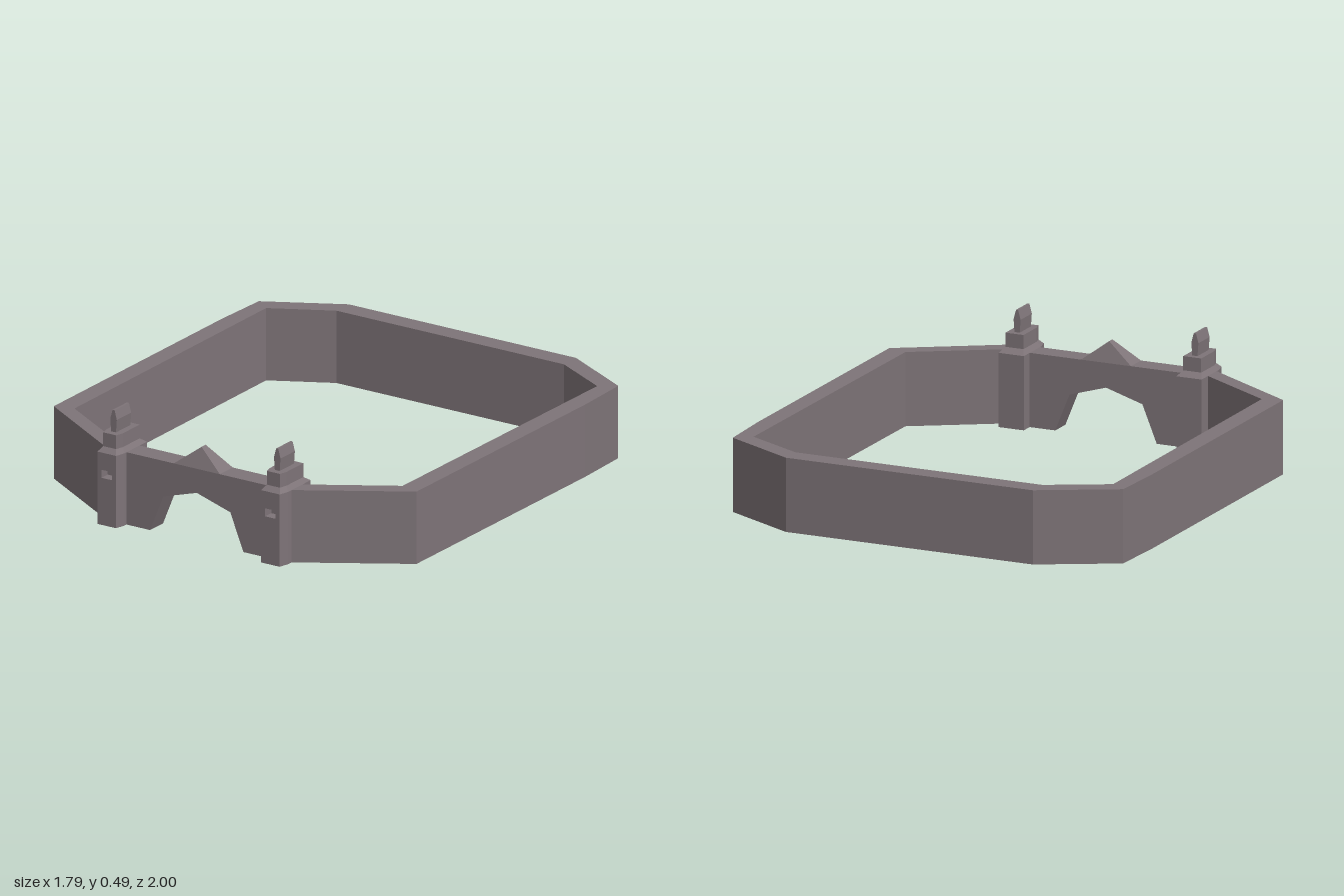
import * as THREE from 'three';

const stone = new THREE.MeshStandardMaterial({ color: 0x7e7478 });
stone.name = 'stone';

const WALL_H = 0.315;
const vecs = (pts) => pts.map(([x, y]) => new THREE.Vector2(x, y));

function part(name, geometry) {
  geometry.computeVertexNormals();
  const mesh = new THREE.Mesh(geometry, stone);
  mesh.name = name;
  return mesh;
}

function extrude(shape, depth) {
  return new THREE.ExtrudeGeometry(shape, { depth, bevelEnabled: false });
}

// Flat-sided solid through rings of [x, z] points, each at its own height
function loft(rings) {
  const pos = [];
  const n = rings[0].pts.length;
  const add = (ring, i) => pos.push(ring.pts[i % n][0], ring.y, ring.pts[i % n][1]);
  for (let r = 0; r < rings.length - 1; r++) {
    const [lo, hi] = [rings[r], rings[r + 1]];
    for (let i = 0; i < n; i++) {
      add(lo, i); add(lo, i + 1); add(hi, i + 1);
      add(lo, i); add(hi, i + 1); add(hi, i);
    }
  }
  const top = rings[rings.length - 1];
  for (let i = 1; i < n - 1; i++) {
    add(top, 0); add(top, i); add(top, i + 1);
    add(rings[0], 0); add(rings[0], i + 1); add(rings[0], i);
  }
  const g = new THREE.BufferGeometry();
  g.setAttribute('position', new THREE.Float32BufferAttribute(pos, 3));
  return g;
}

// Plan outline with the two front corners cut
const plan = (y, w, back, front, cutX, cutZ) => ({
  y,
  pts: [[-w + cutX, front], [w - cutX, front], [w, front - cutZ], [w, back], [-w, back], [-w, front - cutZ]],
});

function enclosureWall() {
  // left half, front to back, as [x, z]
  const outer = [[0.42, 0.94], [0.46, 0.93], [0.893, 0.66], [0.895, -0.57], [0.885, -0.825], [0.56, -1]];
  const inner = [[0.56, -0.91], [0.815, -0.775], [0.808, 0.635], [0.46, 0.85], [0.42, 0.85]];
  const flip = (pts) => pts.map(([x, z]) => [-x, z]).reverse();
  const outline = [...outer, ...flip(outer), ...flip(inner), ...inner];
  const shape = new THREE.Shape(vecs(outline.map(([x, z]) => [x, -z])));
  return part('enclosureWall', extrude(shape, WALL_H).rotateX(-Math.PI / 2));
}

function gateway() {
  const gate = new THREE.Group();
  gate.name = 'gateway';
  // wall pierced by a five-sided arch
  const shape = new THREE.Shape(vecs([
    [-0.42, 0], [-0.23, 0], [-0.165, 0.16], [0, 0.21], [0.165, 0.16], [0.23, 0],
    [0.42, 0], [0.42, WALL_H], [-0.42, WALL_H],
  ]));
  gate.add(part('archWall', extrude(shape, 0.095).translate(0, 0, 0.845)));

  // gable whose front and back lean towards a short ridge
  const gable = extrude(new THREE.Shape(vecs([[-0.113, WALL_H], [0.113, WALL_H], [0, 0.4]])), 0.095);
  gable.translate(0, 0, 0.845);
  const p = gable.attributes.position;
  for (let i = 0; i < p.count; i++) {
    if (p.getY(i) > 0.35) p.setZ(i, p.getZ(i) > 0.89 ? 0.905 : 0.875);
  }
  gate.add(part('gable', gable));
  return gate;
}

function tower(side) {
  const group = new THREE.Group();
  group.name = side > 0 ? 'leftTower' : 'rightTower';
  group.position.x = side * 0.403;

  const body = new THREE.BoxGeometry(0.114, WALL_H, 0.165);
  group.add(part('towerBody', body.translate(0, WALL_H / 2, 0.8725)));

  // front slab with cut corners and a window recess
  const face = new THREE.Shape(vecs([[-0.046, 0], [0.046, 0], [0.046, WALL_H], [-0.046, WALL_H]]));
  face.holes.push(new THREE.Path(vecs([[-0.026, 0.205], [-0.026, 0.24], [0.026, 0.24], [0.026, 0.205]])));
  const front = extrude(face, 0.045);
  const p = front.attributes.position;
  for (let i = 0; i < p.count; i++) {
    const x = p.getX(i);
    if (p.getZ(i) < 0.01 && Math.abs(x) > 0.04) p.setX(i, Math.sign(x) * 0.057);
  }
  group.add(part('towerFront', front.translate(0, 0, 0.955)));

  // sloped shoulder and upper block
  group.add(part('towerTop', loft([
    plan(WALL_H, 0.057, 0.79, 1.0, 0.011, 0.045),
    plan(0.335, 0.041, 0.82, 0.978, 0.009, 0.035),
    plan(0.395, 0.041, 0.82, 0.978, 0.009, 0.035),
  ])));

  // thin blade-like finial
  group.add(part('finial', loft([
    plan(0.395, 0.012, 0.845, 0.95, 0, 0),
    plan(0.45, 0.016, 0.845, 0.95, 0, 0),
    plan(0.49, 0.005, 0.845, 0.95, 0, 0),
  ])));
  return group;
}

export function createModel() {
  const model = new THREE.Group();
  model.name = 'walledEnclosure';
  model.add(enclosureWall(), gateway(), tower(1), tower(-1));
  return model;
}
